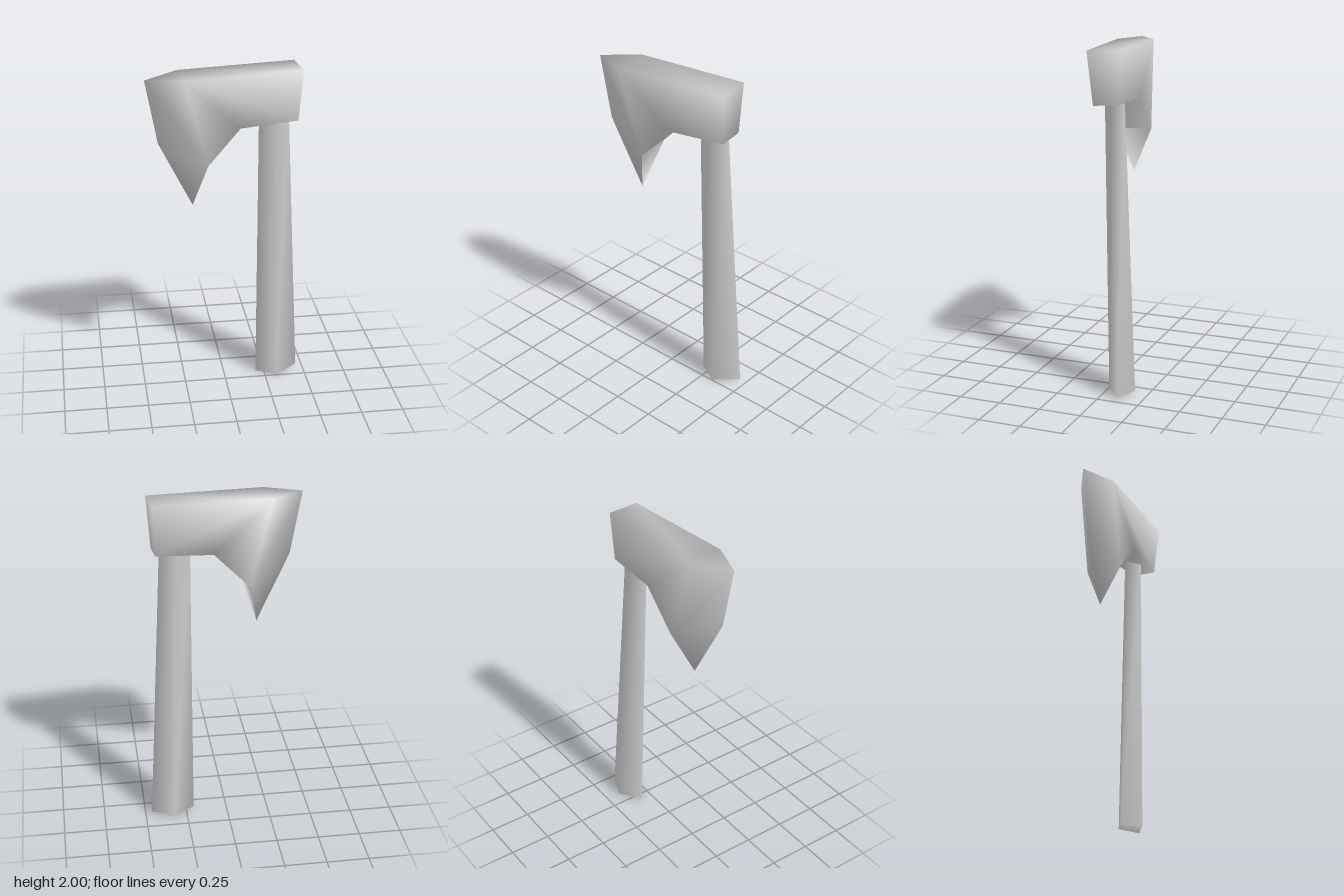
import * as THREE from 'three';

const steel = new THREE.MeshStandardMaterial({ color: 0xcccccc });
steel.name = 'plain grey';

// Closed shape from shared corner points, shaded smoothly over every edge
function smoothMesh(name, points, faces) {
  const geometry = new THREE.BufferGeometry();
  geometry.setAttribute('position', new THREE.Float32BufferAttribute(points.flat(), 3));
  geometry.setIndex(faces.flat());
  geometry.computeVertexNormals();
  const mesh = new THREE.Mesh(geometry, steel);
  mesh.name = name;
  return mesh;
}

const quad = (a, b, c, d) => [[a, b, c], [a, c, d]];

function createAxeHead() {
  // Cutting edge, from the top corner to the lower tip
  const edge = [[-0.465, 1.975, 0.09], [-0.395, 1.6, 0.08], [-0.198, 1.2, 0.04]];
  // Cheek outlines: blade top, beard, throat, heel bottom, heel top
  const front = [[-0.248, 1.98, 0.165], [-0.115, 1.47, 0.13], [0.07, 1.68, 0.115], [0.412, 1.69, 0.05], [0.432, 1.995, 0.078]];
  const back = [[-0.27, 1.985, -0.055], [-0.14, 1.475, -0.09], [0.07, 1.69, -0.1], [0.4, 1.7, -0.098], [0.412, 2.0, -0.116]];

  // Front cheek, then the same triangles reversed for the back cheek
  const cheek = [[0, 1, 4], [0, 4, 3], [1, 2, 4], [3, 4, 5], [3, 5, 6], [3, 6, 7]];
  const other = (i) => (i < 3 ? i : i + 5);
  const faces = [...cheek, ...cheek.map(([a, b, c]) => [other(a), other(c), other(b)])];

  // Walls joining the two cheeks around underside, heel and top
  faces.push([0, 3, 8], [2, 9, 4]);
  for (const [a, b] of [[4, 5], [5, 6], [6, 7], [7, 3]]) faces.push(...quad(a, a + 5, b + 5, b));

  return smoothMesh('axeHead', [...edge, ...front, ...back], faces);
}

function createHandle() {
  // Diamond sections: left, front, right, back; tapering and leaning to the head
  const bottom = [[0.2, 0, -0.073], [0.325, 0, -0.005], [0.462, 0.01, -0.11], [0.325, 0.01, -0.167]];
  const top = [[0.195, 1.75, -0.016], [0.28, 1.75, 0.033], [0.372, 1.75, -0.042], [0.28, 1.75, -0.085]];
  const faces = [...quad(3, 2, 1, 0), ...quad(4, 5, 6, 7)];
  for (let i = 0; i < 4; i++) {
    const j = (i + 1) % 4;
    faces.push(...quad(i, j, j + 4, i + 4));
  }
  return smoothMesh('handle', [...bottom, ...top], faces);
}

export function createModel() {
  const axe = new THREE.Group();
  axe.name = 'axe';
  axe.add(createAxeHead(), createHandle());
  return axe;
}
